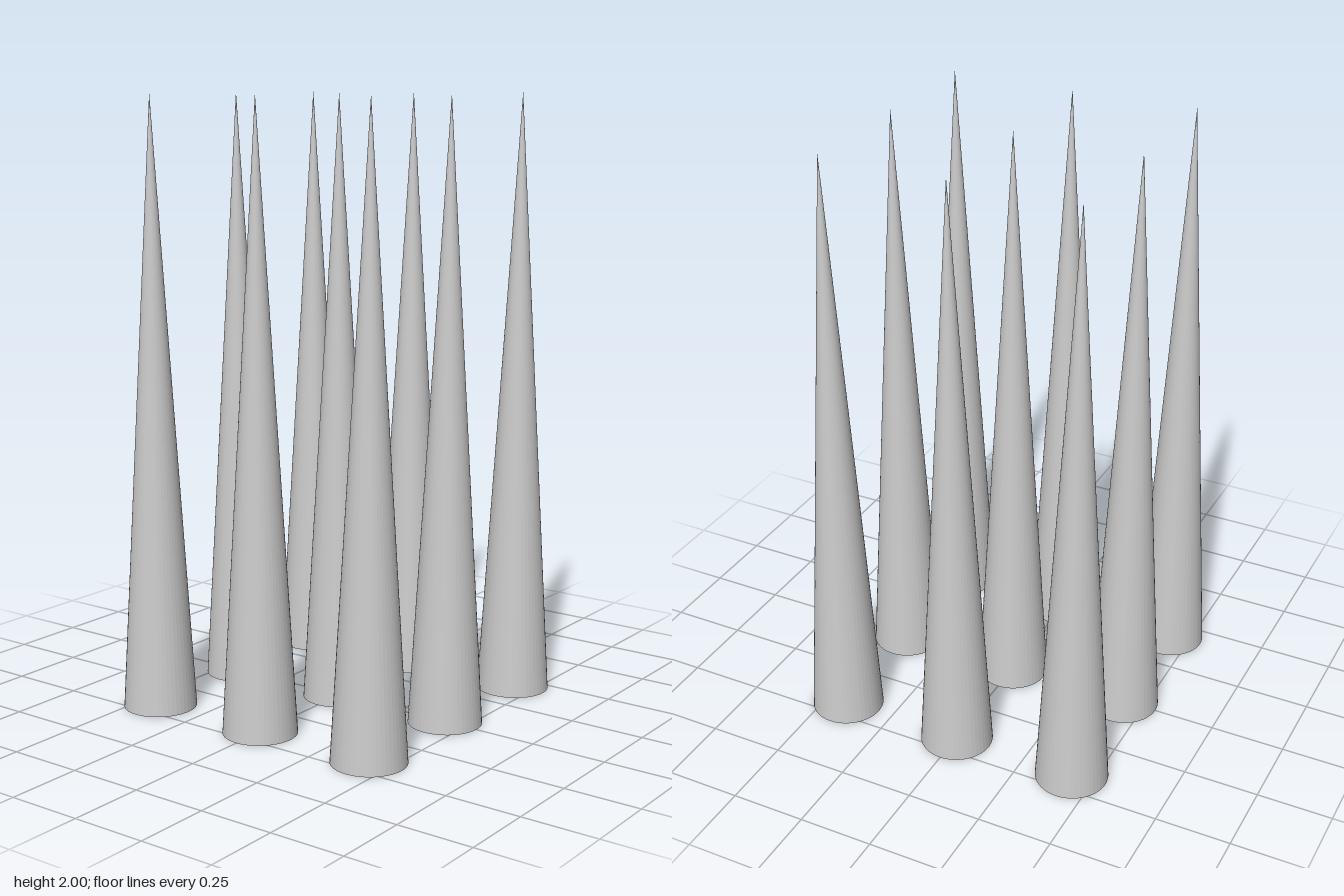
import * as THREE from 'three';

const RADIUS = 0.12;
const HEIGHT = 2;
const SPACING = 0.423;

export function createModel() {
  const group = new THREE.Group();
  group.name = 'spikeGrid';

  // One tall closed cone, standing on y = 0, shared by every spike
  const geometry = new THREE.ConeGeometry(RADIUS, HEIGHT, 48);
  geometry.translate(0, HEIGHT / 2, 0);
  const material = new THREE.MeshStandardMaterial({ color: 0xcccccc, flatShading: true });

  // Three by three grid of spikes
  for (let row = -1; row <= 1; row++) {
    for (let column = -1; column <= 1; column++) {
      const spike = new THREE.Mesh(geometry, material);
      spike.name = `spikeRow${row + 2}Column${column + 2}`;
      spike.position.set(column * SPACING, 0, row * SPACING);
      group.add(spike);
    }
  }
  return group;
}
